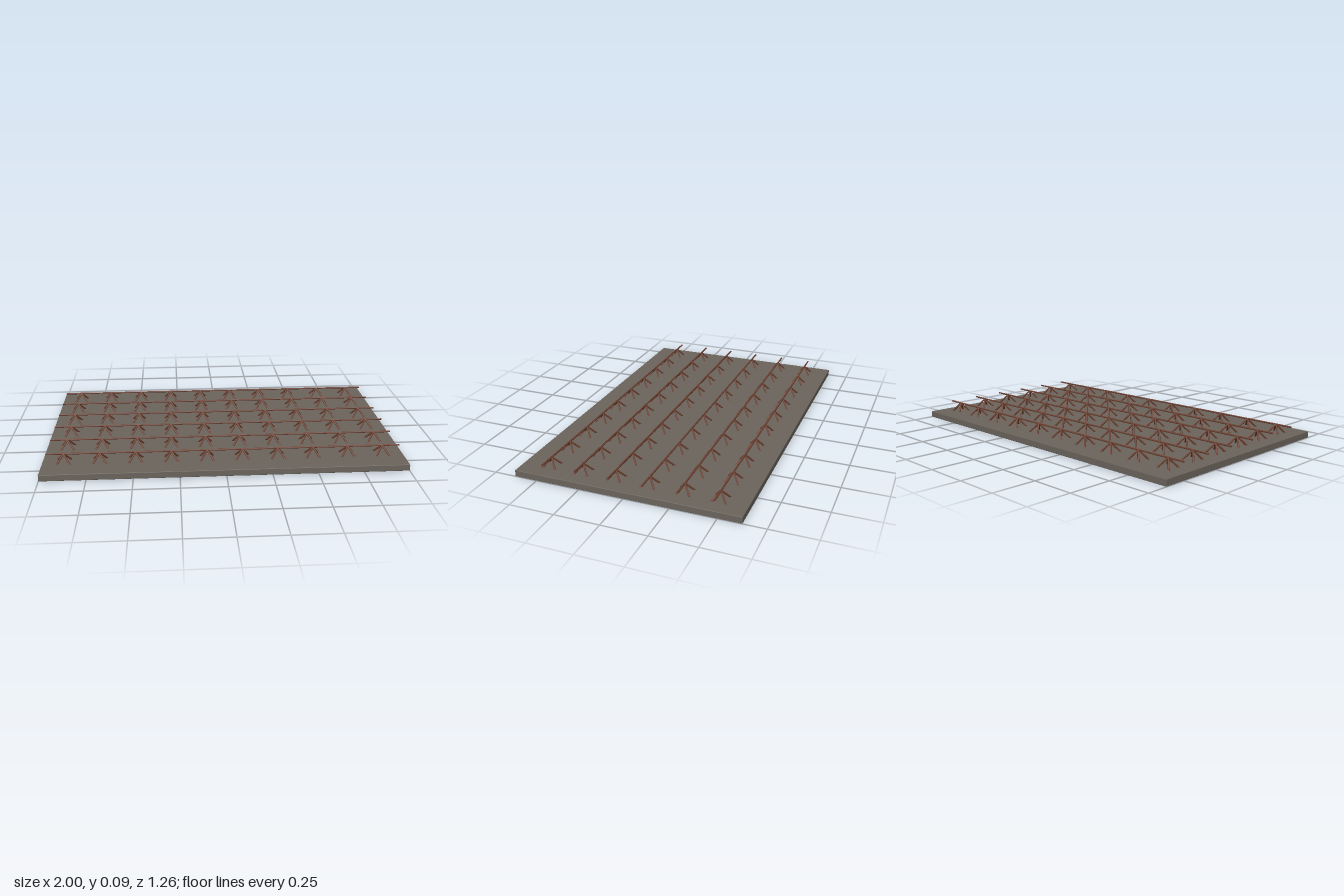
import * as THREE from 'three';
import { RoundedBoxGeometry } from 'three/addons/geometries/RoundedBoxGeometry.js';

const ROWS = 6, ROW_STEP = 0.19, FIRST_ROW_Z = -0.479;
const STANDS = 10, STAND_STEP = 0.196;
const SLAB_TOP = 0.037, BAR_Y = 0.086, RADIUS = 0.005;

// Round bar between two points
function bar(name, from, to, radius, material) {
  const axis = new THREE.Vector3().subVectors(to, from);
  const mesh = new THREE.Mesh(new THREE.CylinderGeometry(radius, radius, axis.length(), 8), material);
  mesh.name = name;
  mesh.position.addVectors(from, to).multiplyScalar(0.5);
  mesh.quaternion.setFromUnitVectors(new THREE.Vector3(0, 1, 0), axis.normalize());
  return mesh;
}

export function createModel() {
  const model = new THREE.Group();
  model.name = 'barbedSlab';
  const stone = new THREE.MeshStandardMaterial({ color: 0x6b645c });
  const rust = new THREE.MeshStandardMaterial({ color: 0x6e4030 });

  // Base slab with slightly eased edges
  const slab = new THREE.Mesh(new RoundedBoxGeometry(2, SLAB_TOP, 1.256, 1, 0.003), stone);
  slab.name = 'slab';
  slab.position.y = SLAB_TOP / 2;
  model.add(slab);

  for (let r = 0; r < ROWS; r++) {
    const row = new THREE.Group();
    row.name = 'barRow';
    row.position.z = FIRST_ROW_Z + r * ROW_STEP;

    // Long horizontal bar
    row.add(bar('longBar', new THREE.Vector3(-0.98, BAR_Y, 0), new THREE.Vector3(0.98, BAR_Y, 0), RADIUS, rust));

    // Four-legged stands under the bar, feet sunk into the slab
    for (let s = 0; s < STANDS; s++) {
      const stand = new THREE.Group();
      stand.name = 'stand';
      stand.position.x = (s - (STANDS - 1) / 2) * STAND_STEP;
      for (const sx of [-1, 1]) {
        for (const sz of [-1, 1]) {
          stand.add(bar('leg', new THREE.Vector3(0, BAR_Y, 0),
            new THREE.Vector3(sx * 0.039, 0.033, sz * 0.039), RADIUS, rust));
        }
      }
      row.add(stand);
    }
    model.add(row);
  }
  return model;
}
